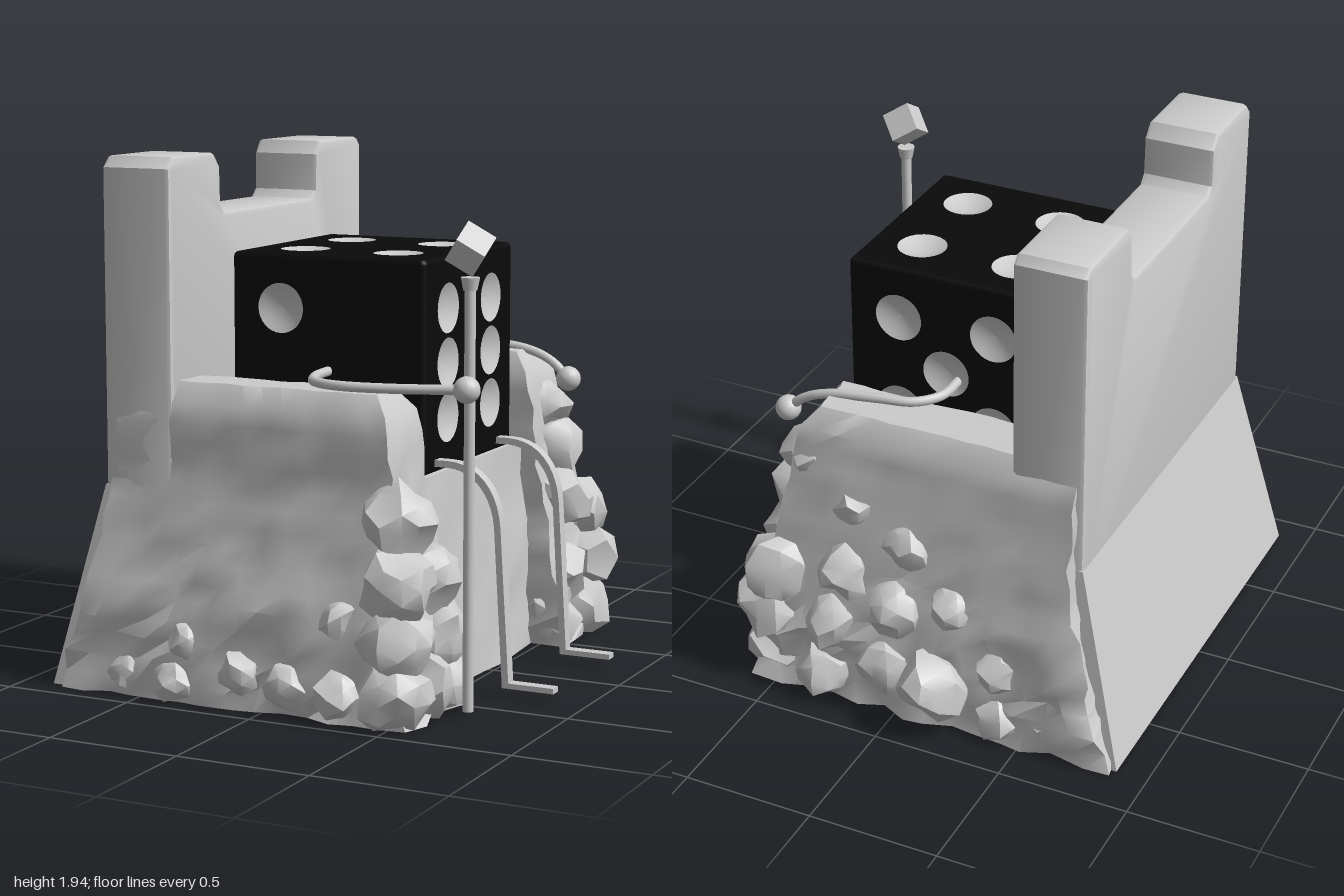
import * as THREE from 'three';
import { toCreasedNormals, mergeGeometries } from 'three/addons/utils/BufferGeometryUtils.js';

const stone = new THREE.MeshStandardMaterial({ color: 0xcccccc });
const thin = new THREE.MeshStandardMaterial({ color: 0xcccccc, side: THREE.DoubleSide });
const black = new THREE.MeshStandardMaterial({ color: 0x0a0a0a });

function part(name, geometry, material = stone) {
  const mesh = new THREE.Mesh(geometry, material);
  mesh.name = name;
  return mesh;
}

// repeatable value in -1..1 from a position, so shared corners move together
function hash(x, y, z) {
  const s = Math.sin(Math.round(x * 500) * 12.99 + Math.round(y * 500) * 78.23 + Math.round(z * 500) * 37.72) * 43758.55;
  return 2 * (s - Math.floor(s)) - 1;
}

// block whose cross-section follows rings of [y, x0, x1, z0, z1], roughened by an amount per height
function block(rings, rough, segs) {
  const g = new THREE.BoxGeometry(1, 1, 1, ...segs);
  const p = g.attributes.position;
  const top = rings[rings.length - 1][0];
  for (let i = 0; i < p.count; i++) {
    const u = p.getX(i) + 0.5, y = (p.getY(i) + 0.5) * top, w = p.getZ(i) + 0.5;
    let k = 0;
    while (k < rings.length - 2 && y > rings[k + 1][0]) k++;
    const t = (y - rings[k][0]) / (rings[k + 1][0] - rings[k][0]);
    const [, x0, x1, z0, z1] = rings[k].map((v, j) => v + (rings[k + 1][j] - v) * t);
    const x = x0 + (x1 - x0) * u, z = z0 + (z1 - z0) * w, r = rough(y);
    p.setXYZ(i,
      x + r * hash(x, y, z),
      y < 0.01 ? 0 : y + 0.5 * r * hash(z, x, y),
      z + r * hash(y, z, x));
  }
  return toCreasedNormals(g, 0.8);
}

// angular boulder, cut off at the ground
function boulder([x, y, z, r]) {
  const g = new THREE.IcosahedronGeometry(1, 1);
  const p = g.attributes.position;
  for (let i = 0; i < p.count; i++) {
    const a = p.getX(i), b = p.getY(i), c = p.getZ(i);
    const s = r * (1 + 0.2 * hash(a + x, b + y, c + z));
    p.setXYZ(i, x + a * s, Math.max(0, y + b * s), z + c * s);
  }
  return toCreasedNormals(g, 0.6);
}

function makeThrone() {
  const throne = new THREE.Group();
  throne.name = 'throne';

  // back rest with two posts, drawn in z and y
  const outline = [[0.81, 0.6], [0.81, 1.9], [0.77, 1.94], [0.48, 1.94], [0.435, 1.89], [0.43, 1.75], [0.40, 1.72],
    [-0.29, 1.72], [-0.32, 1.75], [-0.325, 1.89], [-0.36, 1.94], [-0.68, 1.94], [-0.71, 1.91], [-0.71, 0.6]];
  const b = 0.02;
  const shape = new THREE.Shape(outline.map(([z, y]) => new THREE.Vector2(-z, y)));
  const back = new THREE.ExtrudeGeometry(shape, { depth: 0.28 - 2 * b, bevelSize: b, bevelThickness: b, bevelOffset: -b, bevelSegments: 2 });
  back.rotateY(Math.PI / 2).translate(-0.69 + b, 0, 0);
  throne.add(part('backRest', toCreasedNormals(back, 0.5)));

  // flared foot behind the back rest
  throne.add(part('backFoot', block([[0, -0.88, -0.45, -0.81, 0.89], [0.75, -0.69, -0.42, -0.71, 0.81]], () => 0, [1, 1, 1])));

  // seat
  throne.add(part('seat', block([[0, -0.6, 0.47, -0.6, 0.65], [0.4, -0.6, 0.45, -0.6, 0.65], [0.8, -0.6, 0.42, -0.6, 0.65]],
    (y) => (y > 0.75 ? 0.006 : 0.018), [8, 6, 8])));

  // arm rests spreading into rough walls
  const rough = (y) => (y > 1 ? 0.006 : y > 0.6 ? 0.01 : y > 0.4 ? 0.018 : 0.028);
  throne.add(part('rightArmRest', block([
    [0, -0.84, 0.58, 0.42, 0.91], [0.3, -0.77, 0.56, 0.45, 0.9], [0.55, -0.69, 0.5, 0.5, 0.85], [0.8, -0.66, 0.46, 0.54, 0.81],
    [0.98, -0.66, 0.46, 0.54, 0.81], [1.09, -0.66, 0.42, 0.545, 0.8], [1.14, -0.66, 0.37, 0.59, 0.75]], rough, [14, 16, 5])));
  throne.add(part('leftArmRest', block([
    [0, -0.84, 0.58, -0.84, -0.42], [0.3, -0.77, 0.58, -0.84, -0.43], [0.55, -0.69, 0.52, -0.8, -0.43], [0.8, -0.66, 0.47, -0.76, -0.43],
    [0.98, -0.66, 0.46, -0.73, -0.43], [1.09, -0.66, 0.42, -0.72, -0.435], [1.14, -0.66, 0.37, -0.67, -0.48]], rough, [14, 16, 5])));

  // boulders [x, y, z, radius] piled on the front corners and along the walls
  const rocks = [
    [0.47, 0.71, 0.77, 0.13], [0.5, 0.5, 0.84, 0.13], [0.5, 0.48, 0.62, 0.13], [0.5, 0.3, 0.86, 0.13], [0.5, 0.28, 0.57, 0.14],
    [0.5, 0.1, 0.55, 0.14], [0.53, 0.13, 0.72, 0.13], [0.5, 0.1, 0.87, 0.13], [0.3, 0.1, 0.88, 0.1], [0.28, 0.36, 0.85, 0.08],
    [0.1, 0.1, 0.88, 0.09], [-0.1, 0.13, 0.88, 0.08], [-0.32, 0.22, 0.87, 0.07], [-0.36, 0.07, 0.89, 0.08], [-0.57, 0.08, 0.87, 0.07],
    [0.42, 0.92, -0.64, 0.11], [0.45, 0.74, -0.65, 0.13], [0.5, 0.56, -0.6, 0.13], [0.5, 0.48, -0.78, 0.13], [0.54, 0.3, -0.77, 0.14],
    [0.5, 0.28, -0.55, 0.13], [0.5, 0.1, -0.52, 0.13], [0.53, 0.12, -0.72, 0.14], [0.3, 0.1, -0.82, 0.11], [0.27, 0.32, -0.81, 0.11],
    [0.22, 0.54, -0.78, 0.1], [0.2, 0.78, -0.72, 0.08], [0.05, 0.2, -0.82, 0.11], [0.02, 0.44, -0.78, 0.11], [-0.02, 0.69, -0.74, 0.09],
    [-0.18, 0.2, -0.86, 0.13], [-0.22, 0.5, -0.77, 0.09], [-0.4, 0.28, -0.78, 0.09], [-0.4, 0.09, -0.8, 0.09], [-0.58, 0.1, -0.77, 0.07],
  ];
  throne.add(part('boulders', mergeGeometries(rocks.map(boulder))));
  return throne;
}

function makeDie() {
  const die = new THREE.Group();
  die.name = 'die';
  const h = 0.39, e = 0.02, f = h - e, r = 0.092, o = 0.19;

  // rounded edges and corners
  const rim = [];
  for (const a of [-f, f]) for (const c of [-f, f]) {
    const bar = () => new THREE.CylinderGeometry(e, e, 2 * f, 12, 1, true);
    rim.push(bar().translate(a, 0, c), bar().rotateX(Math.PI / 2).translate(a, c, 0), bar().rotateZ(Math.PI / 2).translate(0, a, c));
    for (const d of [-f, f]) rim.push(new THREE.SphereGeometry(e, 12, 8).translate(a, c, d));
  }
  die.add(part('dieEdges', mergeGeometries(rim), black));

  // faces with round holes and hollow pips
  const pair = [[-o, o], [o, -o]], four = [...pair, [o, o], [-o, -o]];
  const faces = [
    [0, 0, pair], [0, Math.PI, [...four, [0, 0]]],
    [0, Math.PI / 2, [...four.map(([x, y]) => [x, y * 1.05]), [-o, 0], [o, 0]]], [0, -Math.PI / 2, [[0, 0]]],
    [-Math.PI / 2, 0, four], [Math.PI / 2, 0, [...pair, [0, 0]]],
  ];
  const dish = [0, 0.25, 0.5, 0.75, 1].map((t) => new THREE.Vector2(r * t, 0.025 * (t * t - 1)));
  for (const [rx, ry, pips] of faces) {
    const face = new THREE.Group();
    face.name = 'dieFace';
    face.rotation.set(rx, ry, 0);
    const s = new THREE.Shape([[-f, -f], [f, -f], [f, f], [-f, f]].map((c) => new THREE.Vector2(...c)));
    for (const [x, y] of pips) {
      s.holes.push(new THREE.Path().absarc(x, y, r, 0, Math.PI * 2, true));
      face.add(part('pip', new THREE.LatheGeometry(dish, 32).rotateX(Math.PI / 2).translate(x, y, h), thin));
    }
    face.add(part('facePlate', new THREE.ShapeGeometry(s, 16).translate(0, 0, h), black));
    die.add(face);
  }
  die.position.set(0.02, 1.19, 0.04);
  return die;
}

function makeArm(name, points, hand) {
  const arm = new THREE.Group();
  arm.name = name;
  const path = new THREE.CatmullRomCurve3([...points, hand].map((p) => new THREE.Vector3(...p)));
  arm.add(part('armTube', new THREE.TubeGeometry(path, 40, 0.018, 10)));
  arm.add(part('hand', new THREE.SphereGeometry(0.048, 20, 14).translate(...hand)));
  return arm;
}

// flat bent strip from the die to the ground, with a foot
function makeLeg(z) {
  const s = new THREE.Shape();
  s.moveTo(0.38, 0.85).lineTo(0.46, 0.85);
  s.bezierCurveTo(0.58, 0.85, 0.66, 0.76, 0.67, 0.62);
  s.lineTo(0.705, 0.055).lineTo(0.88, 0.055).lineTo(0.88, 0.035).lineTo(0.68, 0.035).lineTo(0.645, 0.62);
  s.bezierCurveTo(0.635, 0.74, 0.56, 0.825, 0.46, 0.825);
  s.lineTo(0.38, 0.825);
  const g = new THREE.ExtrudeGeometry(s, { depth: 0.046, bevelEnabled: false, curveSegments: 10 });
  return part('leg', toCreasedNormals(g.translate(0, 0, z - 0.023), 0.6));
}

function makeStaff() {
  const staff = new THREE.Group();
  staff.name = 'staff';
  staff.add(part('staffPole', new THREE.CylinderGeometry(0.02, 0.02, 1.5, 14).translate(0, 0.77, 0)));
  staff.add(part('staffCollar', new THREE.CylinderGeometry(0.034, 0.025, 0.045, 14).translate(0, 1.53, 0)));
  // cube balanced on one corner
  const cube = new THREE.BoxGeometry(0.112, 0.112, 0.112);
  cube.rotateY(Math.PI / 4).rotateX(Math.atan(Math.SQRT2) * 0.85).rotateY(0.95).translate(0, 1.65, 0);
  staff.add(part('staffCube', cube));
  staff.position.set(0.675, 0, 0.63);
  return staff;
}

export function createModel() {
  const model = new THREE.Group();
  model.name = 'dieOnThrone';
  model.add(makeThrone(), makeDie(), makeStaff());
  model.add(makeArm('rightArm', [[0.02, 1.16, 0.4], [0.04, 1.16, 0.56], [0.1, 1.16, 0.68], [0.22, 1.16, 0.73], [0.42, 1.16, 0.71]], [0.675, 1.165, 0.655]));
  model.add(makeArm('leftArm', [[-0.02, 1.16, -0.32], [-0.01, 1.16, -0.45], [0.06, 1.16, -0.53], [0.2, 1.16, -0.565], [0.38, 1.14, -0.58], [0.48, 1.1, -0.58]], [0.555, 1.035, -0.575]));
  model.add(makeLeg(0.32), makeLeg(-0.23));
  return model;
}
